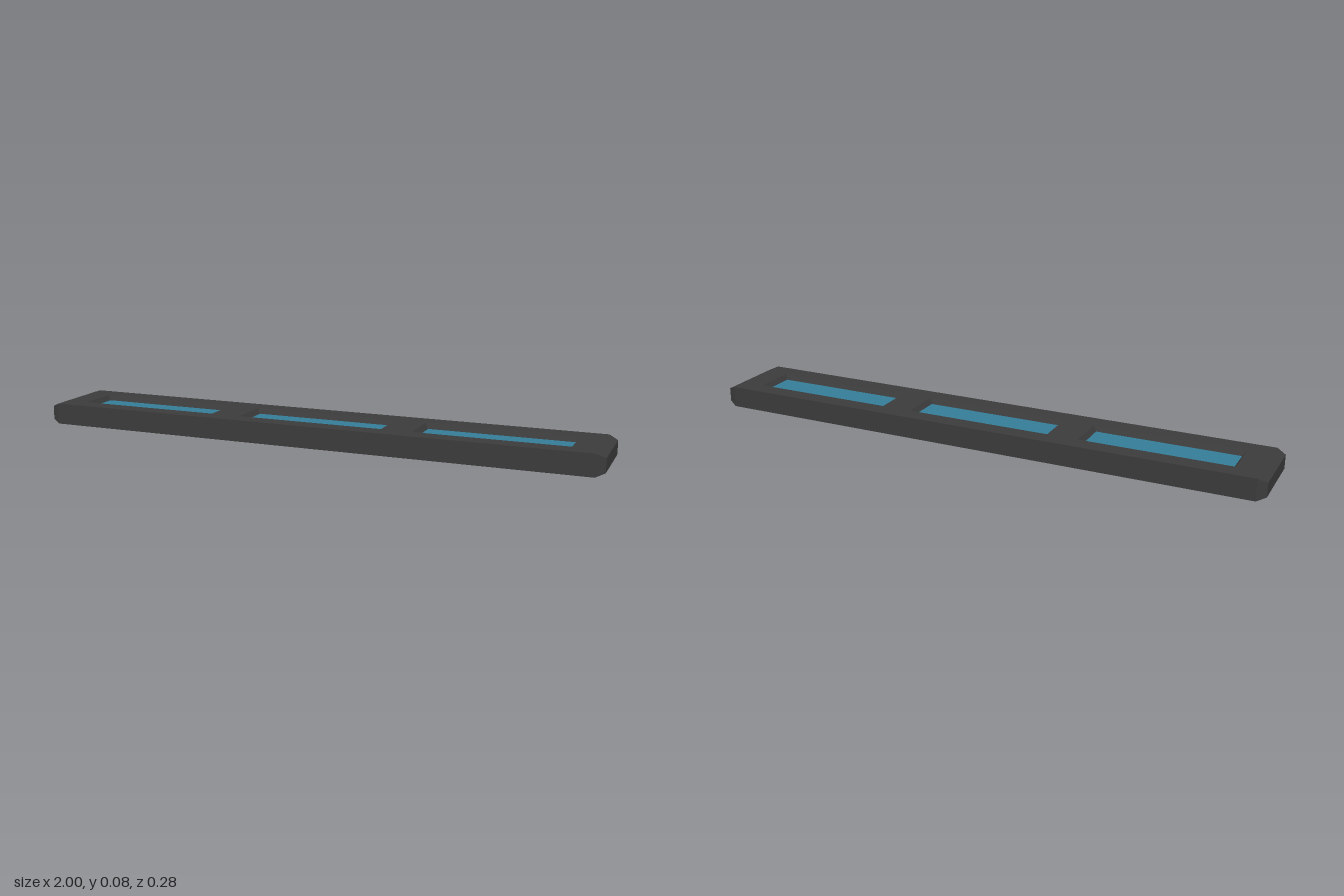
import * as THREE from 'three';

const H = 0.075, D = 0.1375;          // height, half depth
const XE = 0.97, INSET = 0.0135;      // where the end bevels start, bevel size
const WX = 0.26, WZ = 0.075;          // window opening half sizes
const RECESS = 0.018, LIP = 0.0125;   // glass recess and slope of the opening
const CENTRES = [-0.628, 0, 0.628];

// collects flat quads, corners counter-clockwise seen from outside
function quadBuilder() {
  const pos = [];
  const quad = (a, b, c, d) => pos.push(...a, ...b, ...c, ...a, ...c, ...d);
  const build = () => {
    const g = new THREE.BufferGeometry();
    g.setAttribute('position', new THREE.Float32BufferAttribute(pos, 3));
    g.computeVertexNormals();
    return g;
  };
  return { quad, build };
}

// cross-section of the bar at x, shrunk by an inset
const section = (x, s) => [
  [x, H - s, D - s], [x, H - s, s - D], [x, s, s - D], [x, s, D - s],
];

// horizontal rectangle, counter-clockwise from above
const rect = (x0, x1, z0, z1, y) => [[x0, y, z1], [x1, y, z1], [x1, y, z0], [x0, y, z0]];

function frameGeometry() {
  const { quad, build } = quadBuilder();
  const rings = [section(-1, INSET), section(-XE, 0), section(XE, 0), section(1, INSET)];

  // bevelled ends, front and back walls
  for (let r = 0; r < 3; r++) {
    for (let i = 0; i < 4; i++) {
      if (r === 1 && i % 2 === 0) continue; // top and bottom have openings
      const j = (i + 1) % 4;
      quad(rings[r][i], rings[r + 1][i], rings[r + 1][j], rings[r][j]);
    }
  }
  quad(...rings[0]);
  quad(...[...rings[3]].reverse());

  for (const top of [true, false]) {
    const y = top ? H : 0;
    const yGlass = top ? H - RECESS : RECESS;
    const face = (p) => quad(...(top ? p : [...p].reverse()));

    // long rails and the bars between the openings
    face(rect(-XE, XE, WZ, D, y));
    face(rect(-XE, XE, -D, -WZ, y));
    let x = -XE;
    for (const c of CENTRES) {
      face(rect(x, c - WX, -WZ, WZ, y));
      x = c + WX;
    }
    face(rect(x, XE, -WZ, WZ, y));

    // sloping sides of each opening
    for (const c of CENTRES) {
      const o = rect(c - WX, c + WX, -WZ, WZ, y);
      const n = rect(c - WX + LIP, c + WX - LIP, LIP - WZ, WZ - LIP, yGlass);
      for (let i = 0; i < 4; i++) {
        const j = (i + 1) % 4;
        face([o[i], o[j], n[j], n[i]]);
      }
    }
  }
  return build();
}

export function createModel() {
  const group = new THREE.Group();
  group.name = 'windowPanel';
  const dark = new THREE.MeshStandardMaterial({ color: 0x3b3b3b });
  dark.name = 'darkGrey';
  const blue = new THREE.MeshStandardMaterial({ color: 0x347c97 });
  blue.name = 'glassBlue';

  const frame = new THREE.Mesh(frameGeometry(), dark);
  frame.name = 'frame';
  group.add(frame);

  // glass set into each opening, showing above and below
  const glassGeo = new THREE.BoxGeometry(2 * (WX - LIP), H - 2 * RECESS, 2 * (WZ - LIP));
  CENTRES.forEach((c, i) => {
    const glass = new THREE.Mesh(glassGeo, blue);
    glass.name = `glassPane${i + 1}`;
    glass.position.set(c, H / 2, 0);
    group.add(glass);
  });
  return group;
}
